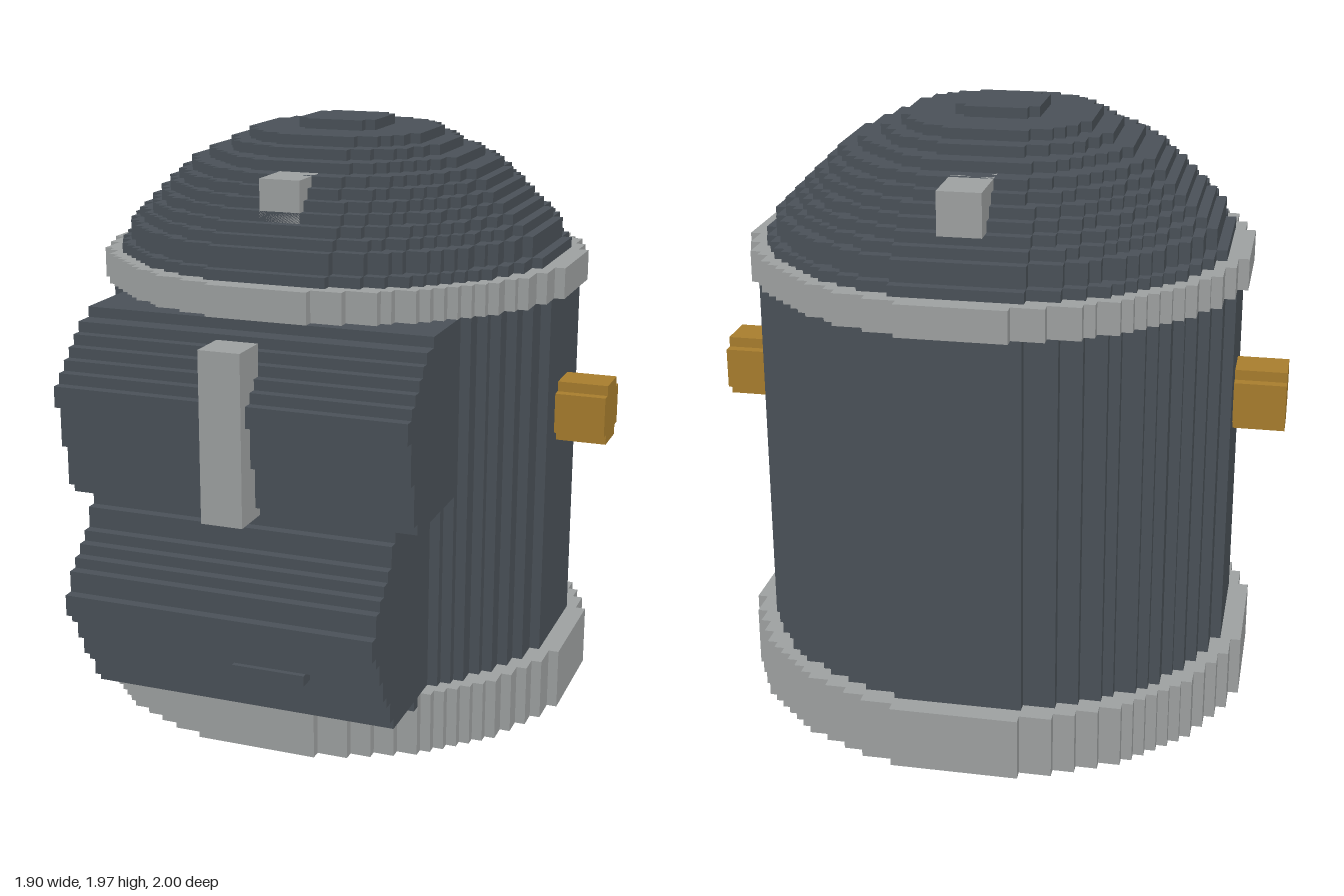
import * as THREE from 'three';

const V = 2 / 59; // size of one block
const AXIS = 25;  // body axis, in blocks from the back

const darkGrey = new THREE.MeshStandardMaterial({ color: 0x4b5259 });
const lightGrey = new THREE.MeshStandardMaterial({ color: 0xa0a3a3 });
const gold = new THREE.MeshStandardMaterial({ color: 0xaa7f2e });

// Extruded outline; repeated points are dropped
function extrude(points, depth) {
  const pts = points.filter((p, i) => i === 0 || p[0] !== points[i - 1][0] || p[1] !== points[i - 1][1]);
  const shape = new THREE.Shape(pts.map(([x, y]) => new THREE.Vector2(x, y)));
  return new THREE.ExtrudeGeometry(shape, { depth, bevelEnabled: false });
}

// Disc with a stepped, blocky rim
function steppedDisc(radius, depth) {
  const n = Math.floor(radius);
  const right = [];
  for (let i = -n; i < n; i++) {
    let w = 0;
    while (Math.hypot(w + 0.5, i + 0.5) <= radius) w++;
    if (w > 0) right.push([w, i], [w, i + 1]);
  }
  const left = right.map(([x, y]) => [-x, y]).reverse();
  return extrude([...right, ...left], depth);
}

// Block with a stepped front: rows of [height in blocks, front position]
function steppedFront(rows, bottom, back, halfWidth) {
  const pts = [[back, bottom]];
  let y = bottom;
  for (const [h, z] of rows) {
    pts.push([z, y], [z, y + h]);
    y += h;
  }
  pts.push([back, y]);
  return extrude(pts, halfWidth * 2).translate(0, 0, -halfWidth).rotateY(-Math.PI / 2);
}

export function createModel() {
  const group = new THREE.Group();
  const blocks = new THREE.Group();
  blocks.name = 'canister';
  blocks.scale.setScalar(V);
  blocks.position.z = -1;
  group.add(blocks);

  const add = (name, geometry, material, x = 0, y = 0, z = 0) => {
    const mesh = new THREE.Mesh(geometry, material);
    mesh.name = name;
    mesh.position.set(x, y, z);
    blocks.add(mesh);
  };
  const addDisc = (name, radius, y0, y1, material) =>
    add(name, steppedDisc(radius, y1 - y0).rotateX(-Math.PI / 2), material, 0, y0, AXIS);
  const addBox = (name, material, x0, x1, y0, y1, z0, z1) =>
    add(name, new THREE.BoxGeometry(x1 - x0, y1 - y0, z1 - z0), material,
      (x0 + x1) / 2, (y0 + y1) / 2, (z0 + z1) / 2);

  // Round body
  addDisc('base', 25.2, 0, 6, lightGrey);
  addDisc('body', 23.4, 6, 42, darkGrey);
  addDisc('rimRing', 24, 42, 45, lightGrey);

  // Dome, one layer at a time from the bottom
  [22, 21, 21, 20, 19, 18, 17, 16, 15, 13, 11, 9, 4].forEach((n, i) =>
    addDisc('domeLayer', n + 0.4, 45 + i, 46 + i, darkGrey));
  addBox('domeFrontLug', lightGrey, -2, 2, 50, 54, 36, 43);
  addBox('domeBackLug', lightGrey, -2, 2, 50, 54, 5, 14);

  // Side knobs
  for (const s of [-1, 1]) {
    add(s > 0 ? 'leftKnob' : 'rightKnob',
      steppedDisc(3, 6).translate(0, 0, 22).rotateY(s * Math.PI / 2), gold, 0, 30, AXIS);
  }

  // Bulging front panels
  const lowerRows = [[1, 47], [1, 53], [2, 54], [1, 55], [1, 56], [1, 56], [2, 57], [1, 58], [2, 59],
    [2, 58], [1, 57], [1, 56], [1, 55], [2, 54], [1, 53]];
  add('lowerFrontPanel', steppedFront(lowerRows, 5, 36, 15), darkGrey);
  const upperRows = [[1, 53], [4, 54], [4, 55], [2, 56], [1, 55], [1, 54], [1, 53], [1, 52], [1, 51], [1, 49]];
  add('upperFrontPanel', steppedFront(upperRows, 25, 36, 17), darkGrey);

  // Front handle and small catch
  addBox('frontBar', lightGrey, -2, 2, 25, 41, 53, 57);
  addBox('frontCatch', darkGrey, 1, 8, 11, 12, 55, 57.5);

  return group;
}
